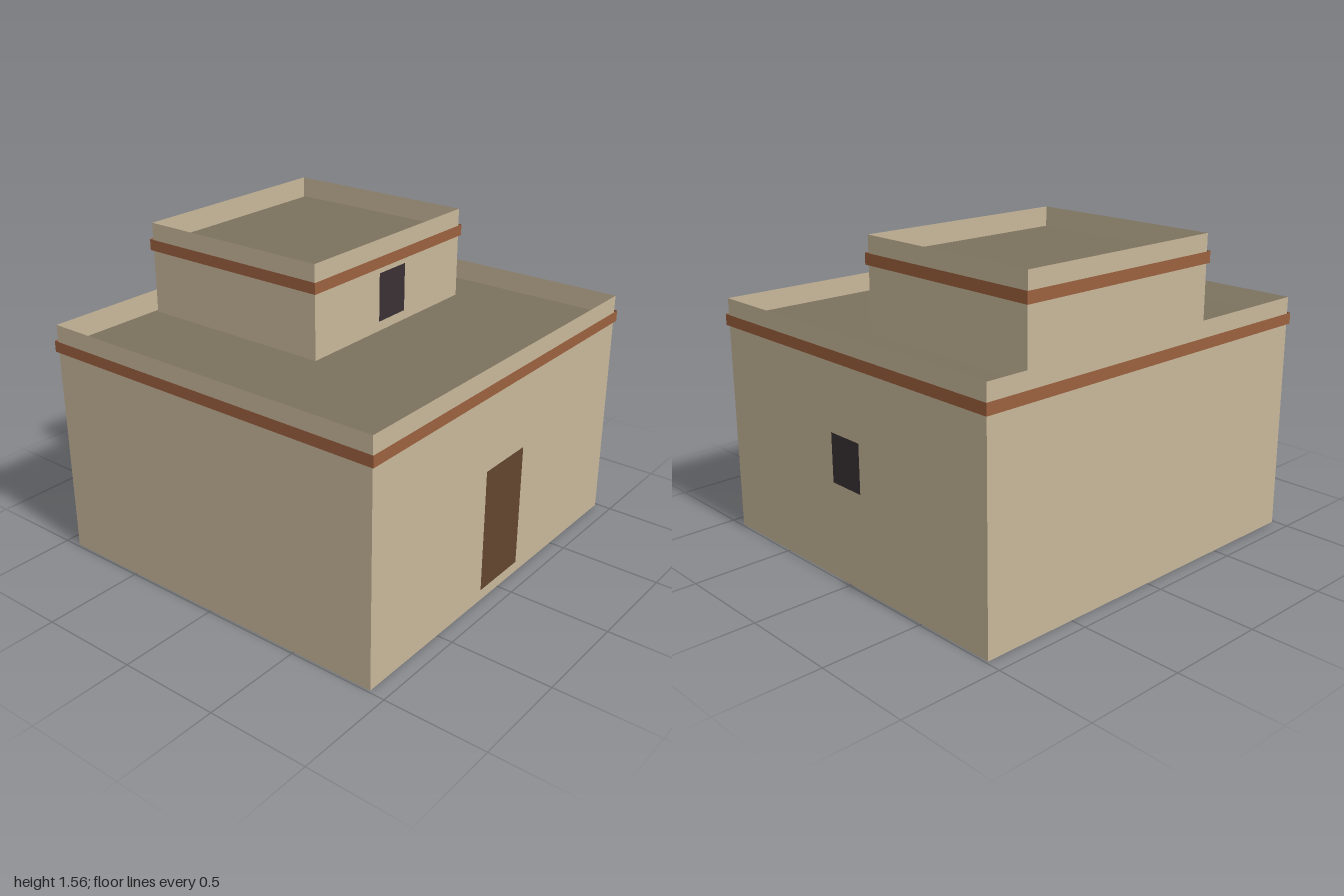
import * as THREE from 'three';

const paint = (name, color) => {
  const m = new THREE.MeshStandardMaterial({ color, side: THREE.DoubleSide });
  m.name = name;
  return m;
};

export function createModel() {
  const adobe = paint('adobe', 0xc8b79a);
  const roofClay = paint('roof clay', 0x7c715e);
  const terracotta = paint('terracotta', 0x9b603e);
  const doorWood = paint('door wood', 0x62452e);
  const windowDark = paint('window dark', 0x393032);

  const model = new THREE.Group();
  model.name = 'house';

  const add = (parent, name, geometry, material, x, y, z) => {
    const mesh = new THREE.Mesh(geometry, material);
    mesh.name = name;
    mesh.position.set(x, y, z);
    parent.add(mesh);
    return mesh;
  };

  // Four thin upright sides around a rectangle, open above and below
  const ring = (parent, name, material, w, d, y0, y1) => {
    const group = new THREE.Group();
    group.name = name;
    parent.add(group);
    const y = (y0 + y1) / 2, h = y1 - y0;
    const sides = [['Front', w, 0, d / 2, 0], ['Left', d, w / 2, 0, 1], ['Back', w, 0, -d / 2, 2], ['Right', d, -w / 2, 0, 3]];
    for (const [side, length, x, z, turn] of sides) {
      const wall = add(group, name + side, new THREE.PlaneGeometry(length, h), material, x, y, z);
      wall.rotation.y = turn * Math.PI / 2;
    }
  };

  // A storey: walls rising past an inset flat roof, with a band round the outside
  const inset = 0.057, bandOut = 0.011;
  const storey = (name, x, z, w, d, roofY, top) => {
    const group = new THREE.Group();
    group.name = name;
    group.position.set(x, 0, z);
    model.add(group);
    ring(group, 'wall', adobe, w, d, 0, top);
    ring(group, 'band', terracotta, w + 2 * bandOut, d + 2 * bandOut, roofY - 0.052, roofY + 0.003);
    const roof = new THREE.PlaneGeometry(w - 2 * inset, d - 2 * inset).rotateX(-Math.PI / 2);
    add(group, 'roof', roof, roofClay, 0, roofY, 0);
    return group;
  };

  storey('mainStorey', 0, 0, 1.975, 1.84, 1.102, 1.183);
  storey('upperRoom', 0.138, -0.338, 1.125, 1.015, 1.472, 1.556);

  // Door and windows
  add(model, 'door', new THREE.PlaneGeometry(0.31, 0.62), doorWood, 0, 0.37, 0.925);
  add(model, 'upperWindow', new THREE.PlaneGeometry(0.2, 0.24), windowDark, 0.14, 1.272, 0.1745);
  const sideWindow = add(model, 'sideWindow', new THREE.PlaneGeometry(0.2, 0.24), windowDark, 0.992, 0.595, 0);
  sideWindow.rotation.y = Math.PI / 2;

  return model;
}
